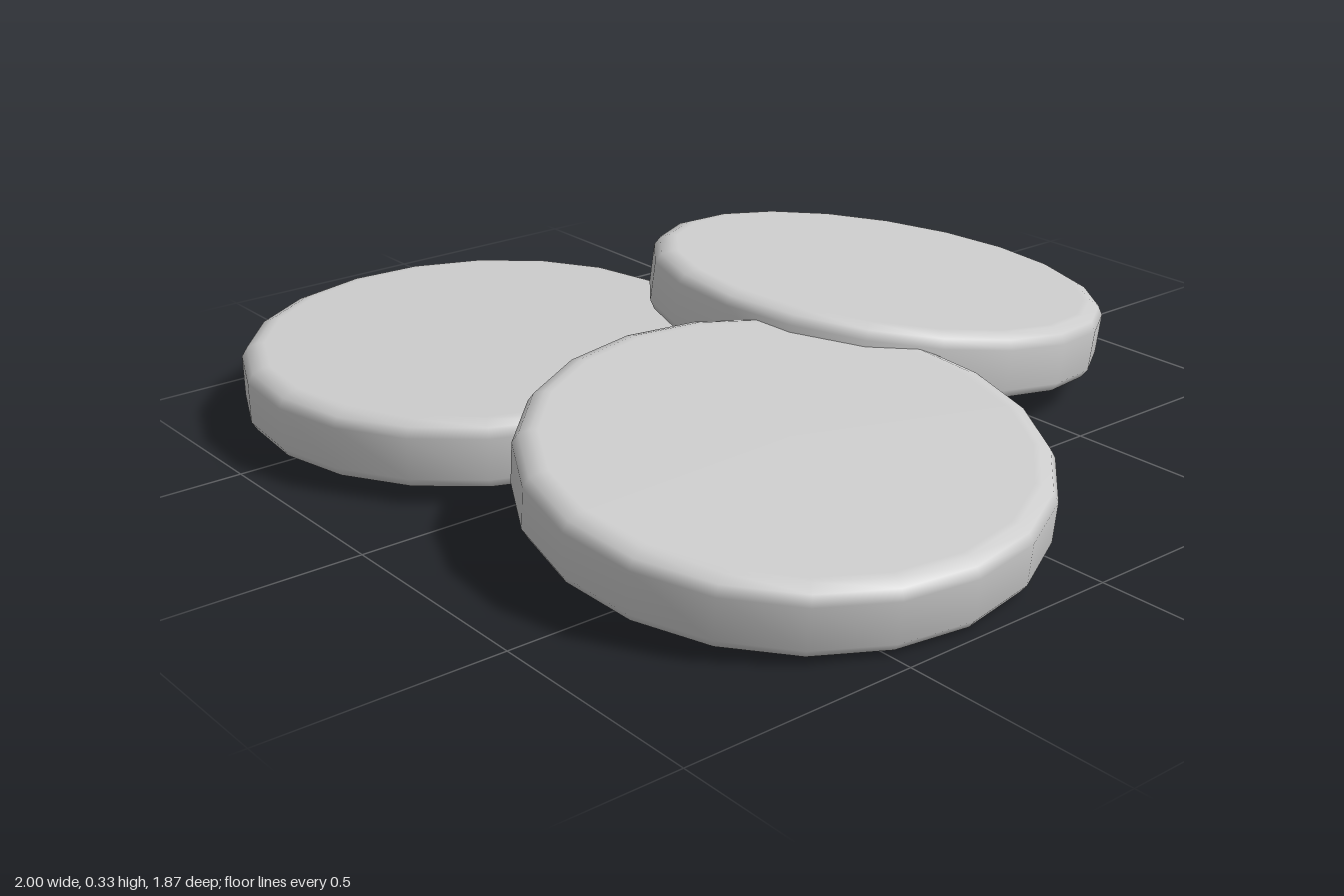
import * as THREE from 'three';

const RADIUS = 0.527, HALF = 0.075, SIDES = 20;

// One pill-edged disc, turned about its own axis
function discGeometry() {
  const profile = [
    [0, -HALF], [RADIUS - 0.05, -HALF], [RADIUS - 0.035, -HALF],
    [RADIUS - 0.012, -HALF + 0.01], [RADIUS, -HALF + 0.03],
    [RADIUS, HALF - 0.03], [RADIUS - 0.012, HALF - 0.01],
    [RADIUS - 0.035, HALF], [RADIUS - 0.05, HALF], [0, HALF],
  ].map(([r, y]) => new THREE.Vector2(r, y));
  return new THREE.LatheGeometry(profile, SIDES);
}

export function createModel() {
  const group = new THREE.Group();
  group.name = 'discPile';
  const material = new THREE.MeshStandardMaterial({ color: 0xcccccc });
  const geometry = discGeometry();
  const up = new THREE.Vector3(0, 1, 0);

  // Centre, slope of the top along x and z, and spin in degrees
  const discs = [
    { name: 'flatDisc', at: [-0.475, 0.115, 0.405], slope: [-0.015, -0.01], spin: 4 },
    { name: 'frontLeaningDisc', at: [0.47, 0.15, 0.33], slope: [-0.145, -0.025], spin: 0 },
    { name: 'backLeaningDisc', at: [-0.08, 0.19, -0.42], slope: [-0.04, 0.147], spin: 8 },
  ];
  for (const { name, at, slope, spin } of discs) {
    const disc = new THREE.Mesh(geometry, material);
    disc.name = name;
    disc.position.set(...at);
    const normal = new THREE.Vector3(-slope[0], 1, -slope[1]).normalize();
    disc.quaternion.setFromUnitVectors(up, normal);
    disc.rotateY(THREE.MathUtils.degToRad(spin));
    group.add(disc);
  }
  return group;
}
